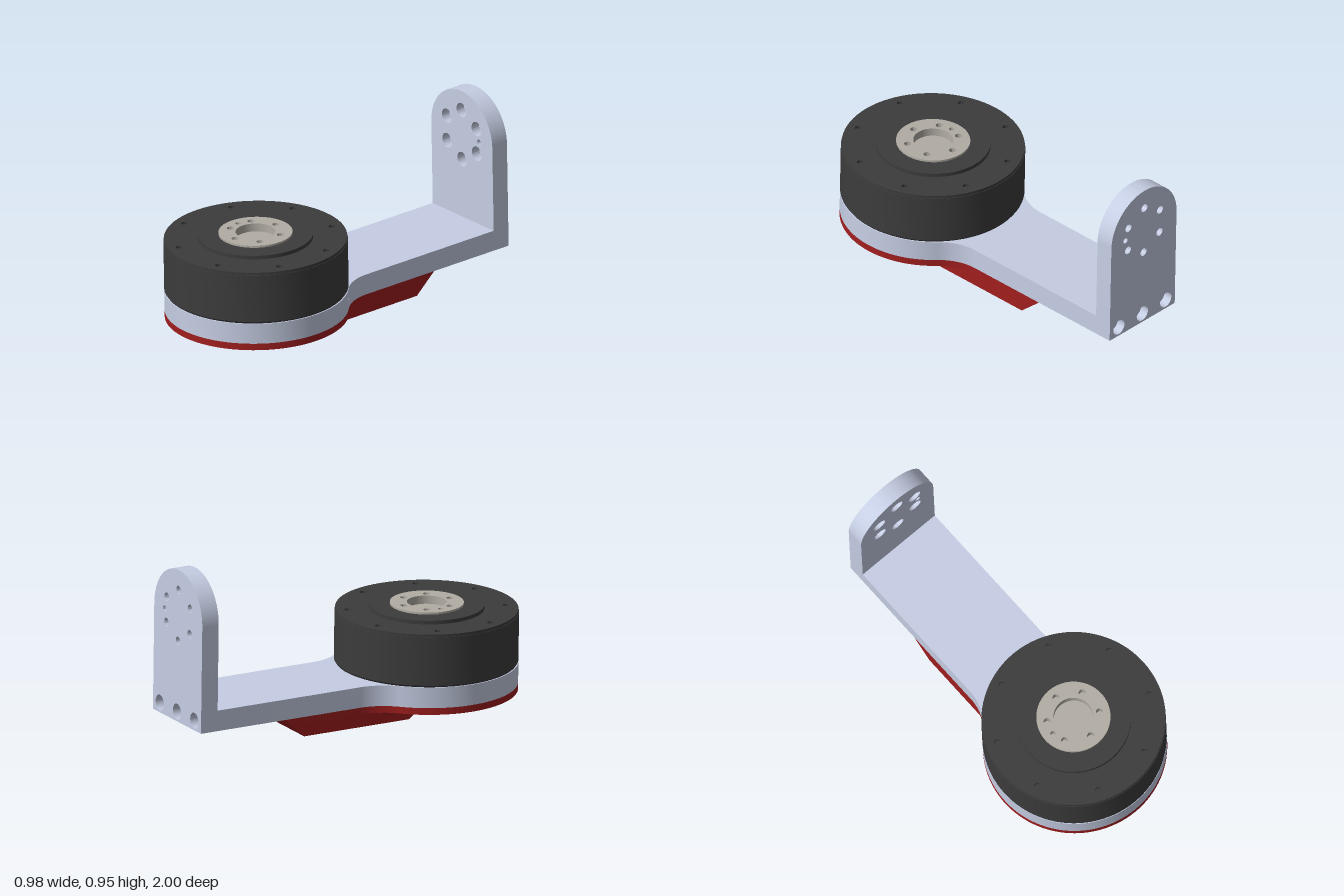
import * as THREE from 'three';
import { toCreasedNormals } from 'three/addons/utils/BufferGeometryUtils.js';

const MOTOR_Z = 0.515, MOTOR_R = 0.485, HALF = 0.25;
const metal = new THREE.MeshStandardMaterial({ color: 0xc6cee4 });
const red = new THREE.MeshStandardMaterial({ color: 0xa01e1e });
const black = new THREE.MeshStandardMaterial({ color: 0x3c3c3c });
const grey = new THREE.MeshStandardMaterial({ color: 0xb2ada5 });

function addMesh(parent, name, geometry, material) {
  const mesh = new THREE.Mesh(toCreasedNormals(geometry, 0.5), material);
  mesh.name = name;
  parent.add(mesh);
  return mesh;
}

const extrude = (shape, depth) =>
  new THREE.ExtrudeGeometry(shape, { depth, bevelEnabled: false, curveSegments: 40 });

// Horizontal slab: shape is drawn in (x, z)
const slab = (shape, y0, y1) => extrude(shape, y1 - y0).rotateX(Math.PI / 2).translate(0, y1, 0);

// Side profile drawn in (z, y), extruded across x
const across = (points, width) =>
  extrude(new THREE.Shape(points.map(p => new THREE.Vector2(...p))), width)
    .rotateY(-Math.PI / 2).translate(width / 2, 0, 0);

function disc(r, x = 0, y = MOTOR_Z) {
  const s = new THREE.Shape();
  s.absarc(x, y, r, 0, Math.PI * 2);
  return s;
}

function drill(shape, r, centres) {
  for (const [x, y] of centres) {
    const p = new THREE.Path();
    p.absarc(x, y, r, 0, Math.PI * 2);
    shape.holes.push(p);
  }
  return shape;
}

const ring = (n, r, cy, start) => Array.from({ length: n }, (_, i) => {
  const a = start + i * Math.PI * 2 / n;
  return [r * Math.cos(a), cy + r * Math.sin(a)];
});

// Disc blended into a straight arm with tangent fillets
function paddle(zEnd) {
  const fx = 0.514, fz = -0.03, fr = 0.264;
  const a = Math.atan2(MOTOR_Z - fz, fx);
  const s = new THREE.Shape();
  s.moveTo(-HALF, zEnd);
  s.lineTo(HALF, zEnd);
  s.absarc(fx, fz, fr, Math.PI, Math.PI - a, true);
  s.absarc(0, MOTOR_Z, MOTOR_R, -a, Math.PI + a, false);
  s.absarc(-fx, fz, fr, a, 0, true);
  s.closePath();
  return s;
}

function uprightShape(y0) {
  const s = new THREE.Shape();
  s.moveTo(-HALF, y0);
  s.lineTo(HALF, y0);
  s.absarc(0, 0.7, HALF, 0, Math.PI, false);
  s.closePath();
  return s;
}

function createBracket() {
  const g = new THREE.Group();
  g.name = 'bracket';
  addMesh(g, 'arm', slab(paddle(-0.9), 0.117, 0.23), metal);

  // Upright in two layers, so that the bolt holes are counterbored
  const bolts = ring(6, 0.14, 0.7, Math.PI / 6), pin = [[0.142, 0.7]];
  const front = drill(drill(uprightShape(0.117), 0.04, bolts), 0.016, pin);
  const back = drill(drill(uprightShape(0.117), 0.023, bolts), 0.016, pin);
  const feet = [-0.18, 0, 0.18].map(x => [x, 0.17]);
  drill(front, 0.025, feet);
  drill(back, 0.043, feet);
  addMesh(g, 'uprightFront', extrude(front, 0.05).translate(0, 0, -0.95), metal);
  addMesh(g, 'uprightBack', extrude(back, 0.05).translate(0, 0, -1), metal);
  return g;
}

function createCover() {
  const g = new THREE.Group();
  g.name = 'cover';
  const screws = ring(8, 0.42, MOTOR_Z, Math.PI / 8).filter(p => p[1] > 0.3);
  addMesh(g, 'coverBase', slab(paddle(-0.4), 0.1, 0.117), red);
  addMesh(g, 'coverPlate', slab(drill(paddle(-0.4), 0.026, screws), 0.08, 0.1), red);

  // Cable housing with sloped ends and a recessed lid with screw holes
  addMesh(g, 'housing', across([
    [0.35, 0.08], [0.3, 0.117], [-0.49, 0.117], [-0.37, 0.01], [-0.365, 0.01],
    [-0.365, 0.03], [0.265, 0.03], [0.265, 0.01], [0.27, 0.01],
  ], HALF * 2), red);
  const lid = new THREE.Shape();
  lid.moveTo(-HALF, -0.365);
  lid.lineTo(HALF, -0.365);
  lid.lineTo(HALF, 0.265);
  lid.lineTo(-HALF, 0.265);
  lid.closePath();
  drill(lid, 0.026, [[-0.2, 0.2], [0.2, 0.2], [-0.2, -0.31], [0.2, -0.31]]);
  addMesh(g, 'housingLid', slab(lid, 0.01, 0.03), red);

  // Concave fillets between housing and plate
  for (const side of [-1, 1]) {
    const s = new THREE.Shape();
    s.moveTo(side * 0.24, 0.085);
    s.lineTo(side * 0.24, 0.05);
    s.lineTo(side * 0.25, 0.05);
    s.quadraticCurveTo(side * 0.25, 0.08, side * 0.28, 0.08);
    s.lineTo(side * 0.28, 0.085);
    addMesh(g, 'housingFillet', extrude(s, 0.19).translate(0, 0, 0.1), red);
  }

  // Plain raised pad under the motor
  const pad = new THREE.Shape();
  pad.moveTo(-0.11, 0.41);
  pad.lineTo(0.11, 0.41);
  pad.quadraticCurveTo(0.14, 0.41, 0.15, 0.45);
  pad.lineTo(0.18, 0.6);
  pad.quadraticCurveTo(0.18, 0.69, 0.1, 0.7);
  pad.absarc(0, 0.75, 0.1, -0.4, Math.PI + 0.4, false);
  pad.quadraticCurveTo(-0.18, 0.69, -0.18, 0.6);
  pad.lineTo(-0.15, 0.45);
  pad.quadraticCurveTo(-0.14, 0.41, -0.11, 0.41);
  addMesh(g, 'raisedPad', slab(pad, 0.05, 0.085), red);
  return g;
}

function createMotor() {
  const g = new THREE.Group();
  g.name = 'motor';
  const profile = [[0, 0.23], [0.478, 0.23], [MOTOR_R, 0.24], [MOTOR_R, 0.505], [0, 0.505]];
  const body = new THREE.LatheGeometry(profile.map(p => new THREE.Vector2(...p)), 96);
  addMesh(g, 'motorBody', body.translate(0, 0, MOTOR_Z), black);

  const bore = [[0, MOTOR_Z]];
  const top = drill(disc(0.482), 0.018, ring(8, 0.42, MOTOR_Z, Math.PI / 8));
  addMesh(g, 'motorTop', slab(drill(top, 0.195, bore), 0.505, 0.521), black);
  addMesh(g, 'motorRing', slab(drill(disc(0.303), 0.195, bore), 0.521, 0.541), black);

  // Output hub with bolt circle, locating pin hole and shallow bore
  const hub = drill(disc(0.195), 0.019, ring(6, 0.14, MOTOR_Z, Math.PI / 6));
  drill(hub, 0.014, [[-0.142, MOTOR_Z]]);
  addMesh(g, 'outputHub', slab(drill(hub, 0.105, bore), 0.507, 0.552), grey);
  addMesh(g, 'hubFloor', slab(disc(0.195), 0.503, 0.507), grey);
  return g;
}

export function createModel() {
  const model = new THREE.Group();
  model.name = 'motorBracketAssembly';
  const assembly = new THREE.Group();
  assembly.name = 'assembly';
  assembly.add(createBracket(), createCover(), createMotor());
  // The whole assembly leans slightly to one side
  assembly.rotation.z = 0.024;
  assembly.position.x = 0.006;
  model.add(assembly);
  return model;
}
